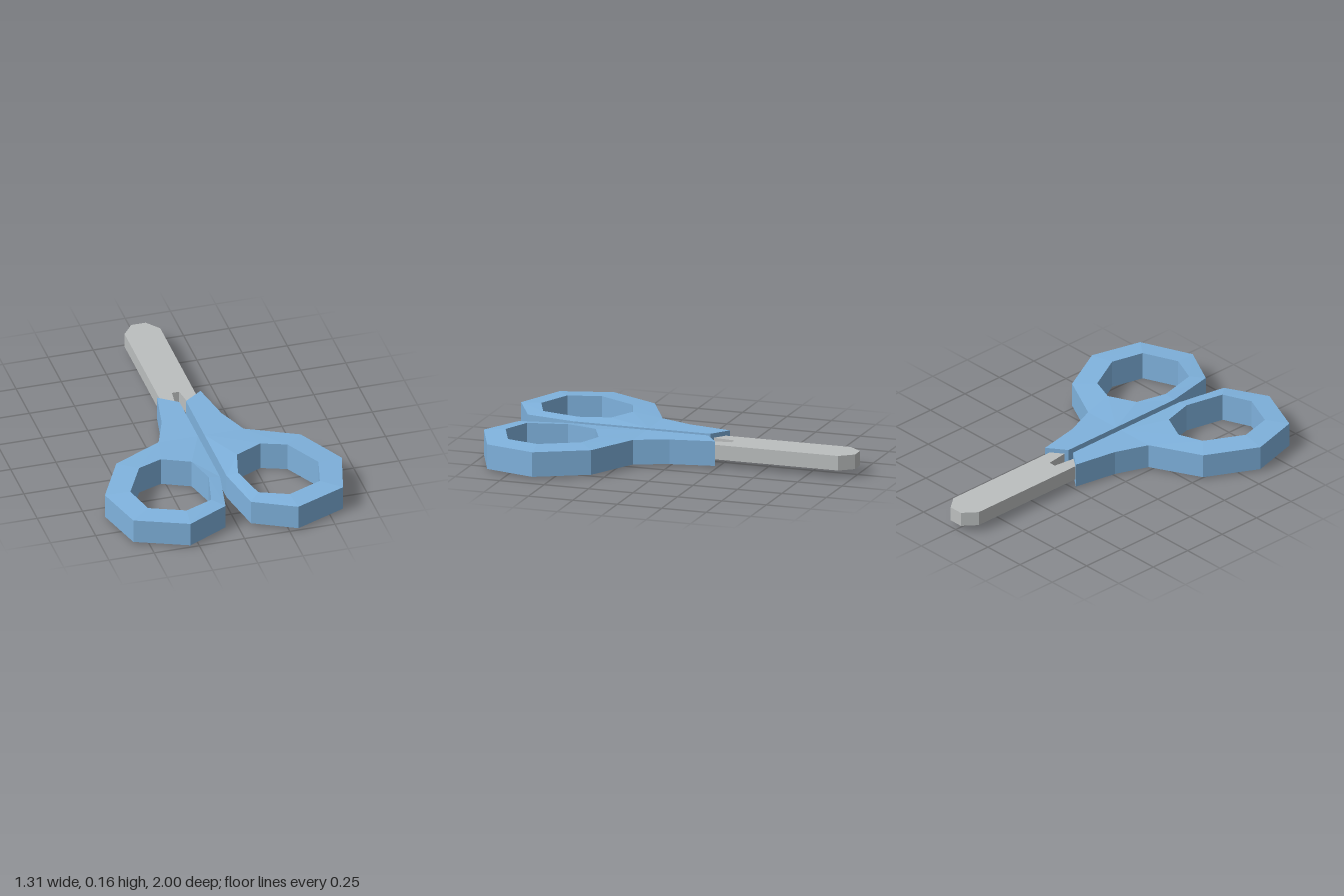
import * as THREE from 'three';
import { mergeGeometries } from 'three/addons/utils/BufferGeometryUtils.js';

// Finger ring of the +x handle seen from above: [outer x, z, hole x, z] per section
const RING = [
  [0.235, 0.18, 0.275, 0.36], [0.51, 0.32, 0.41, 0.41], [0.655, 0.6, 0.52, 0.62],
  [0.58, 0.88, 0.475, 0.8], [0.298, 0.998, 0.285, 0.88], [0.07, 0.88, 0.13, 0.815],
  [0.018, 0.6, 0.081, 0.6], [0.018, 0.18, 0.125, 0.43],
];

// [x, z] outlines: shank of the +x handle, and the right half of the blades
const SHANK = [[0.12, -0.24], [0.165, 0], [0.235, 0.18], [0.018, 0.18], [0.018, -0.165]];
const BLADE = [[0.04, -1], [0.099, -0.925], [0.099, -0.12], [0.043, -0.12], [0.02, -0.3]];

const LOW = 0.01, HIGH = 0.145; // outer edge of the handle
const HOLE_LOW = 0, HOLE_HIGH = 0.155; // swollen edge around the finger hole

const toPoints = (list, side = 1) => list.map(([x, z]) => new THREE.Vector2(side * x, -z));

// Extrude a plan outline upwards from y0 to y1
function slab(points, y0, y1) {
  const geometry = new THREE.ExtrudeGeometry(new THREE.Shape(points), {
    depth: y1 - y0, bevelEnabled: false,
  });
  geometry.rotateX(-Math.PI / 2);
  geometry.translate(0, y0, 0);
  return geometry;
}

// Loop of four-cornered sections around the finger hole
function ringGeometry(side) {
  const positions = [];
  const quad = (a, b, c, d) => {
    const corners = side > 0 ? [a, b, c, a, c, d] : [a, c, b, a, d, c];
    corners.forEach((v) => positions.push(...v));
  };
  const sections = RING.map(([ox, oz, hx, hz]) => ({
    outLow: [side * ox, LOW, oz], outHigh: [side * ox, HIGH, oz],
    inLow: [side * hx, HOLE_LOW, hz], inHigh: [side * hx, HOLE_HIGH, hz],
  }));
  sections.forEach((s, i) => {
    const t = sections[(i + 1) % sections.length];
    quad(s.outHigh, s.inHigh, t.inHigh, t.outHigh); // top
    quad(s.outLow, t.outLow, t.inLow, s.inLow); // underside
    quad(s.inLow, t.inLow, t.inHigh, s.inHigh); // hole wall
    // the last section joins the shank and needs no outer wall
    if (i < sections.length - 1) quad(t.outLow, s.outLow, s.outHigh, t.outHigh);
  });
  const geometry = new THREE.BufferGeometry();
  geometry.setAttribute('position', new THREE.Float32BufferAttribute(positions, 3));
  geometry.computeVertexNormals();
  return geometry;
}

function handleGeometry(side) {
  const shank = slab(toPoints(SHANK, side), LOW, HIGH);
  shank.deleteAttribute('uv');
  return mergeGeometries([ringGeometry(side), shank]);
}

export function createModel() {
  const group = new THREE.Group();
  group.name = 'scissors';

  const plastic = new THREE.MeshStandardMaterial({ color: 0x7fb2dd });
  plastic.name = 'blue plastic';
  const steel = new THREE.MeshStandardMaterial({ color: 0xbcbfbf });
  steel.name = 'grey steel';

  const add = (name, geometry, material) => {
    const mesh = new THREE.Mesh(geometry, material);
    mesh.name = name;
    group.add(mesh);
  };

  // mirrored finger handles
  add('leftHandle', handleGeometry(1), plastic);
  add('rightHandle', handleGeometry(-1), plastic);

  // closed blades with a notch between the tangs
  add('blades', slab([...toPoints(BLADE), ...toPoints(BLADE, -1).reverse()], 0.04, 0.12), steel);

  return group;
}
